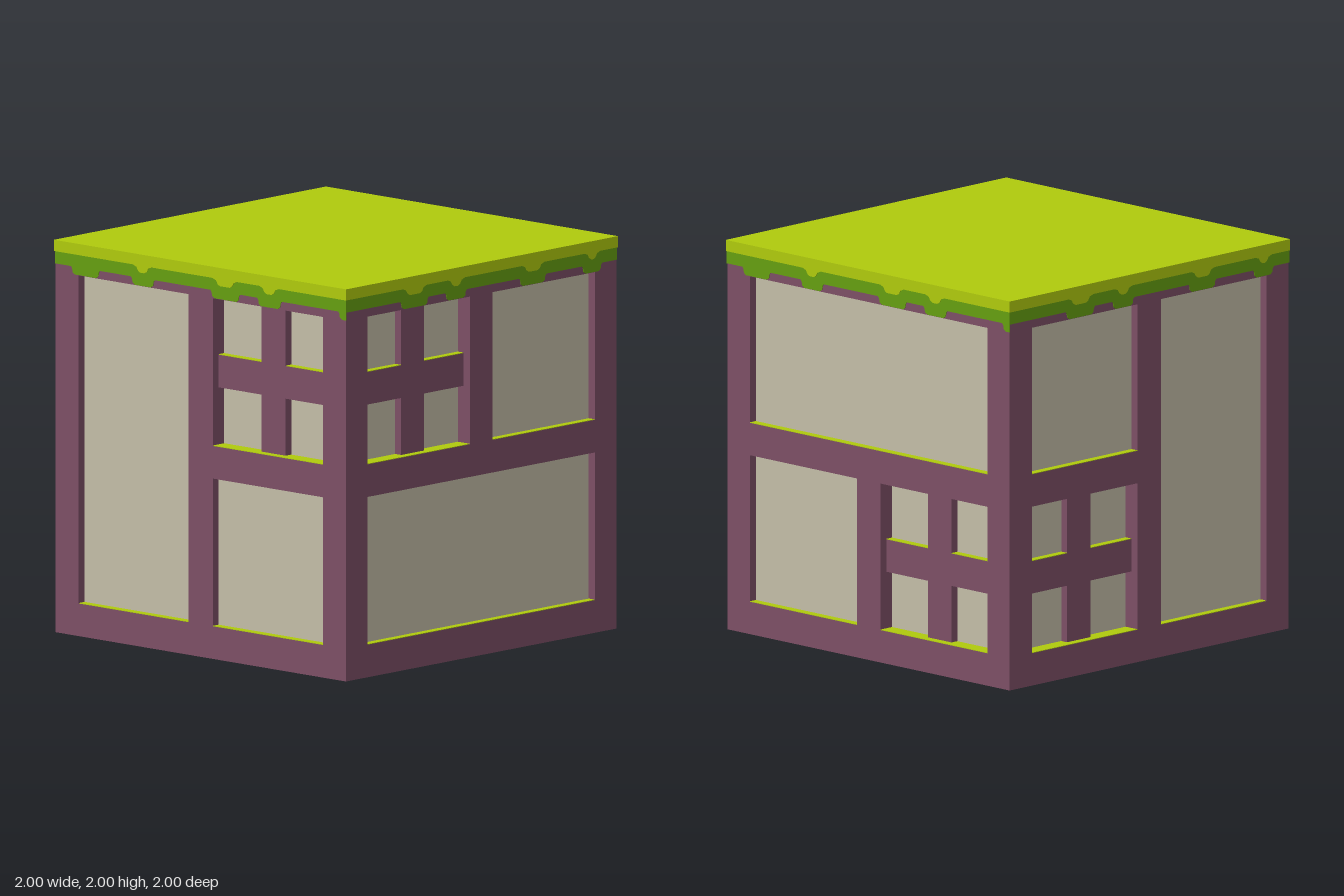
import * as THREE from 'three';

const material = (name, color) => Object.assign(new THREE.MeshStandardMaterial({ color }), { name });

export function createModel() {
  const timber = material('plum timber', 0x7d4f66);
  const plaster = material('beige plaster', 0xc4bea8);
  const lime = material('lime grass', 0xb0cb0d);
  const green = material('green moss', 0x66a010);

  const FACE = 0.994;   // distance of the timber face from the centre
  const SHALLOW = 0.042; // recess of panels and window bars
  const DEEP = 0.083;    // recess of window panes

  const add = (parent, name, geometry, mat) => {
    const mesh = new THREE.Mesh(geometry, mat);
    mesh.name = name;
    parent.add(mesh);
    return mesh;
  };
  // Box given by its limits, z measured back from the timber face
  const block = (parent, name, mat, [x0, x1, y0, y1], near, far) => {
    const mesh = add(parent, name, new THREE.BoxGeometry(x1 - x0, y1 - y0, far - near), mat);
    mesh.position.set((x0 + x1) / 2, (y0 + y1) / 2, FACE - (near + far) / 2);
  };
  // Thin lime covering on an upward-facing ledge
  const ledge = (parent, [x0, x1], y, near, far) =>
    block(parent, 'ledge', lime, [x0, x1, y - 0.002, y + 0.003], near, far);

  // Opening ranges along a wall and up it
  const L = [-0.836, -0.083], R = [0.083, 0.836], WIDE = [-0.836, 0.836];
  const LOW = [0.166, 0.919], HIGH = [1.085, 1.838], TALL = [0.166, 1.838];

  const frontDrips = [[-0.875, -0.7, 0], [-0.465, -0.325, 1], [0.08, 0.26, 1], [0.4, 0.545, 1], [0.955, 1.03, 0]];
  const sideDrips = [[-0.585, -0.4, 1], [-0.255, -0.12, 1], [0.29, 0.465, 1], [0.75, 0.875, 1]];

  const walls = [
    { name: 'frontWall', turn: 0, drips: frontDrips, window: [R, HIGH], panels: [[L, TALL], [R, LOW]] },
    { name: 'leftWall', turn: Math.PI / 2, drips: sideDrips, window: [L, HIGH], panels: [[R, HIGH], [WIDE, LOW]] },
    { name: 'backWall', turn: Math.PI, drips: frontDrips, window: [R, LOW], panels: [[WIDE, HIGH], [L, LOW]] },
    { name: 'rightWall', turn: -Math.PI / 2, drips: sideDrips, window: [L, LOW], panels: [[L, HIGH], [R, TALL]] },
  ];

  // Strip hanging from the roof edge, with sagging drips along its bottom
  const fringe = (half, base, sag, slope, drips) => {
    const shape = new THREE.Shape();
    shape.moveTo(half, 2 - 0.001);
    shape.lineTo(-half, 2 - 0.001);
    shape.lineTo(-half, base);
    for (const [a, b] of drips) {
      const points = [[a - slope, base], [a - slope * 0.3, base - sag * 0.25], [a, base - sag * 0.75],
        [a + 0.015, base - sag], [b - 0.015, base - sag], [b, base - sag * 0.75],
        [b + slope * 0.3, base - sag * 0.25], [b + slope, base]];
      for (const [x, y] of points) if (x < half) shape.lineTo(x, y);
      if (b > half) shape.lineTo(half, base - sag);
    }
    if (drips.every(([, b]) => b < half)) shape.lineTo(half, base);
    return new THREE.ExtrudeGeometry(shape, { depth: 0.003, bevelEnabled: false });
  };

  const buildWall = ({ name, turn, drips, window, panels }) => {
    const wall = new THREE.Group();
    wall.name = name;
    wall.rotation.y = turn;

    // Timber frame with one hole per opening
    const frame = new THREE.Shape([[-FACE, 0], [FACE, 0], [FACE, 1.99], [-FACE, 1.99]].map(p => new THREE.Vector2(...p)));
    for (const [[x0, x1], [y0, y1]] of [window, ...panels]) {
      frame.holes.push(new THREE.Path([[x0, y0], [x0, y1], [x1, y1], [x1, y0]].map(p => new THREE.Vector2(...p))));
    }
    const frameGeometry = new THREE.ExtrudeGeometry(frame, { depth: DEEP + 0.01, bevelEnabled: false });
    add(wall, 'timberFrame', frameGeometry, timber).position.z = FACE - DEEP - 0.01;

    // Plaster panels
    for (const [xs, ys] of panels) {
      block(wall, 'plasterPanel', plaster, [...xs, ...ys], SHALLOW, DEEP);
      ledge(wall, xs, ys[0], 0.001, SHALLOW);
    }

    // Window pane, crossing bars and their ledges
    const [xs, ys] = window;
    const cx = (xs[0] + xs[1]) / 2, cy = (ys[0] + ys[1]) / 2, w = 0.083;
    block(wall, 'windowPane', plaster, [...xs, ...ys], DEEP, DEEP + 0.01);
    block(wall, 'windowUpright', timber, [cx - w, cx + w, ...ys], SHALLOW, DEEP);
    for (const side of [[xs[0], cx - w], [cx + w, xs[1]]]) {
      block(wall, 'windowCrossbar', timber, [...side, cy - w, cy + w], SHALLOW, DEEP);
      ledge(wall, side, cy + w, SHALLOW + 0.001, DEEP);
      ledge(wall, side, ys[0], SHALLOW, DEEP);
    }
    ledge(wall, xs, ys[0], 0.001, SHALLOW);

    // Moss drips, with the grass edge laid over them
    add(wall, 'mossFringe', fringe(0.997, 1.88, 0.04, 0.012, drips), green).position.z = FACE;
    const dips = drips.filter(d => d[2]).map(([a, b]) => [a + 0.04, b - 0.04]);
    add(wall, 'grassEdge', fringe(1, 1.943, 0.036, 0.035, dips), lime).position.z = 0.997;
    return wall;
  };

  const model = new THREE.Group();
  model.name = 'grassRoofedBlock';
  walls.forEach(w => model.add(buildWall(w)));

  // Grass roof and timber floor
  add(model, 'grassRoof', new THREE.BoxGeometry(2, 0.02, 2), lime).position.y = 1.99;
  add(model, 'timberFloor', new THREE.BoxGeometry(2 * FACE, 0.02, 2 * FACE), timber).position.y = 0.01;
  return model;
}
